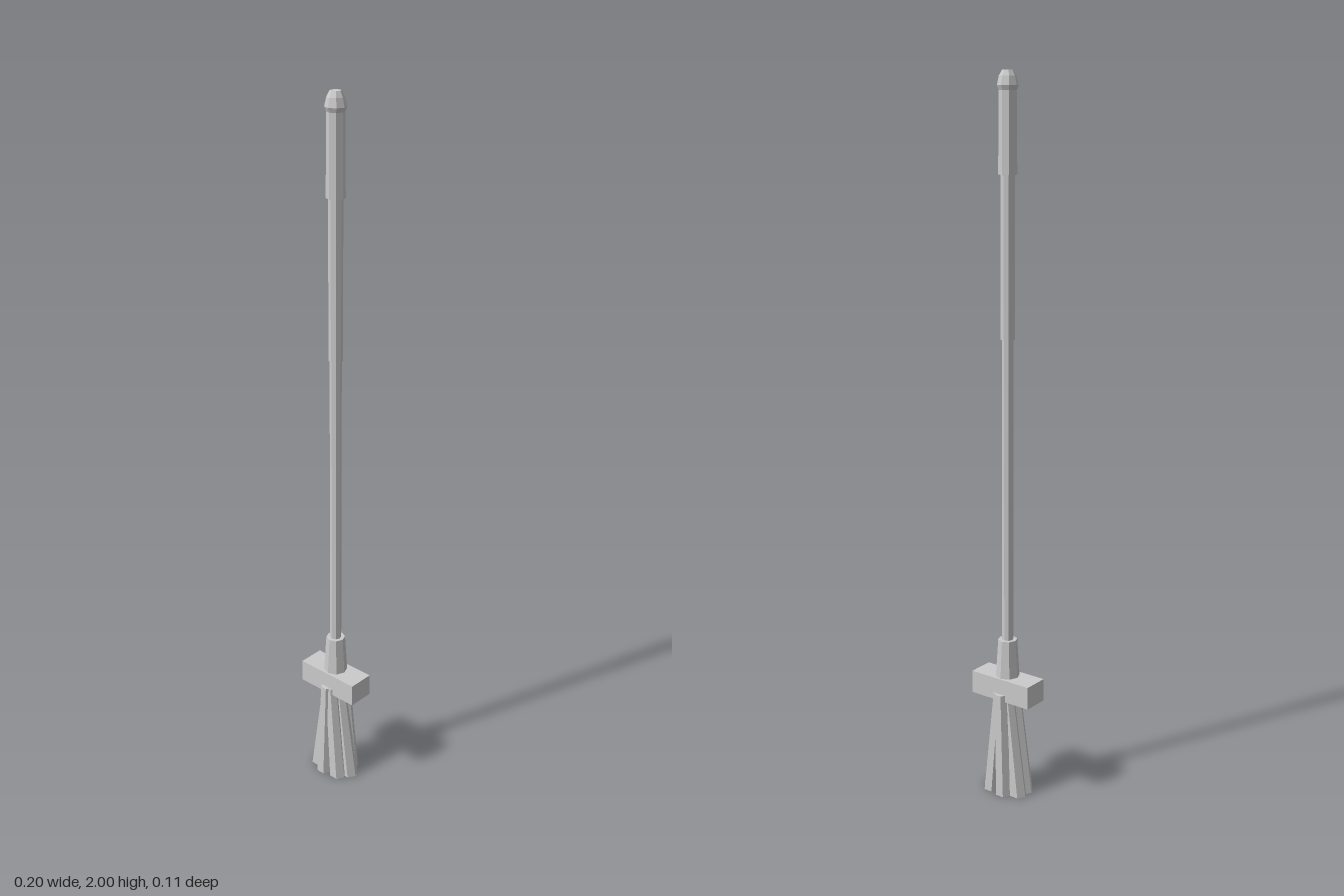
import * as THREE from 'three';

export function createModel() {
  const group = new THREE.Group();
  group.name = 'broom';
  const material = new THREE.MeshStandardMaterial({ color: 0xcccccc, flatShading: true });

  function add(name, geometry, y = 0) {
    const mesh = new THREE.Mesh(geometry, material);
    mesh.name = name;
    mesh.position.y = y;
    group.add(mesh);
    return mesh;
  }

  // Upright tapered section between two heights
  function section(name, y0, y1, rBottom, rTop, sides = 8) {
    const geometry = new THREE.CylinderGeometry(rTop, rBottom, y1 - y0, sides);
    return add(name, geometry, (y0 + y1) / 2);
  }

  // Handle, from the socket up to the end cap
  section('socket', 0.33, 0.46, 0.035, 0.027);
  section('lowerPole', 0.44, 1.32, 0.016, 0.016);
  section('upperPole', 1.31, 1.76, 0.019, 0.019);
  section('grip', 1.74, 1.96, 0.025, 0.023);
  const capProfile = [[0, 1.95], [0.023, 1.95], [0.028, 1.962], [0.023, 1.985], [0.015, 2], [0, 2]]
    .map(([r, y]) => new THREE.Vector2(r, y));
  add('endCap', new THREE.LatheGeometry(capProfile, 8));

  // Cross block holding the bristles
  add('headBlock', new THREE.BoxGeometry(0.196, 0.065, 0.076), 0.318);

  // Hexagonal bristle clump, sheared so that it spreads sideways to the floor
  const height = 0.305;
  function clump(name, x, z) {
    const geometry = new THREE.CylinderGeometry(0.018, 0.025, height, 6);
    geometry.rotateY(Math.PI / 6);
    geometry.translate(0, height / 2, 0);
    const p = geometry.attributes.position;
    for (let i = 0; i < p.count; i++) {
      const spread = 1 - 0.75 * p.getY(i) / height;
      p.setX(i, p.getX(i) + x * spread);
      p.setZ(i, p.getZ(i) + z);
    }
    add(name, geometry);
  }

  // Seven clumps on an oval, around a middle one
  const count = 7;
  for (let i = 0; i < count; i++) {
    const a = i / count * Math.PI * 2;
    clump('bristleClump' + (i + 1), 0.055 * Math.cos(a), 0.035 * Math.sin(a));
  }
  clump('bristleCore', 0, 0);

  return group;
}
